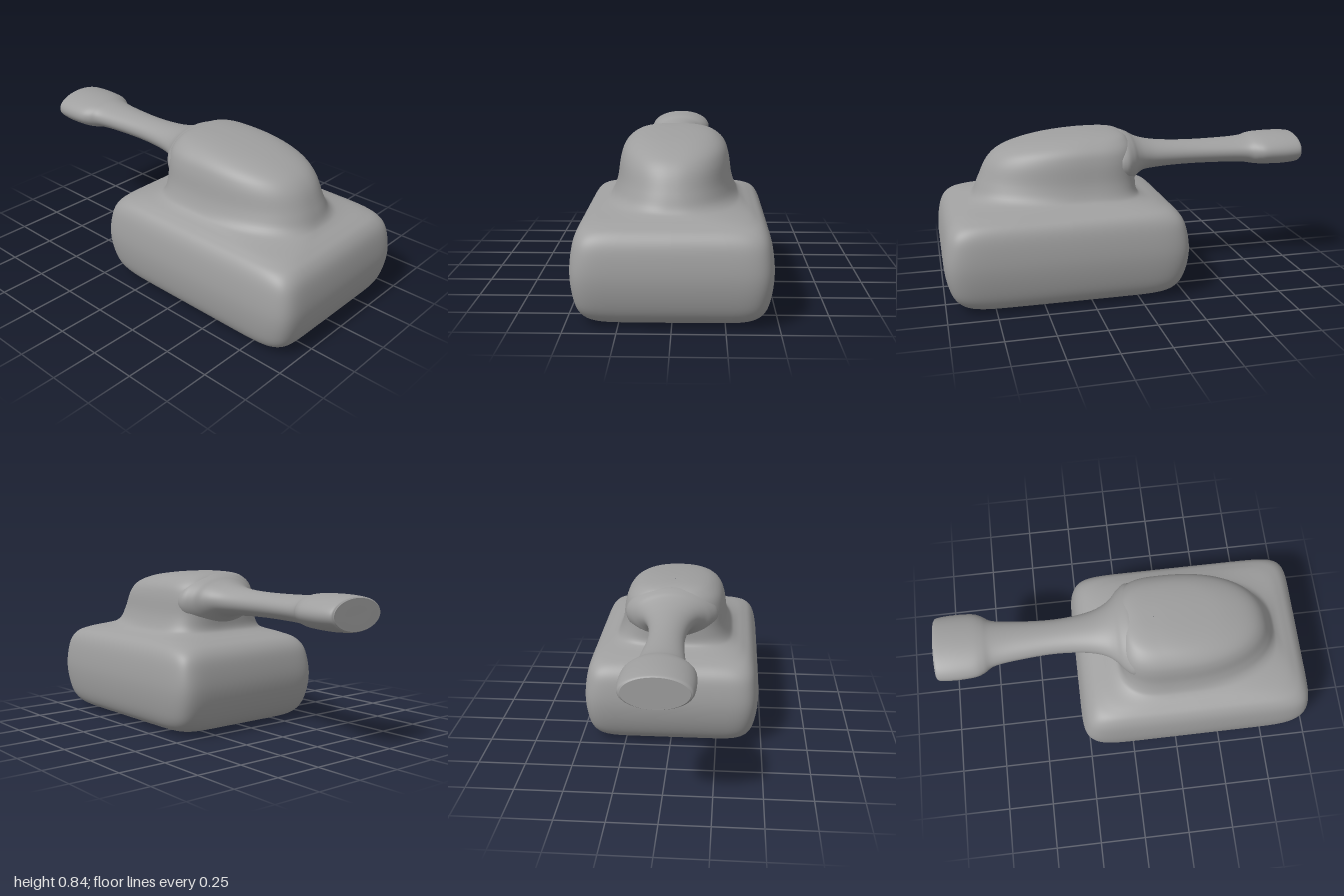
import * as THREE from 'three';

const material = new THREE.MeshStandardMaterial({ color: 0x9f9f9f });

// Catmull-Rom resampling of control rows, so sections flow smoothly
function smoothRows(rows, steps) {
  const out = [];
  const at = i => rows[Math.min(rows.length - 1, Math.max(0, i))];
  for (let i = 0; i < rows.length - 1; i++) {
    for (let s = 0; s < steps; s++) {
      const t = s / steps;
      out.push(rows[i].map((b, k) => {
        const a = at(i - 1)[k], c = at(i + 1)[k], d = at(i + 2)[k];
        return b + 0.5 * t * (c - a + t * (2 * a - 5 * b + 4 * c - d + t * (3 * (b - c) + d - a)));
      }));
    }
  }
  out.push(rows[rows.length - 1]);
  return out;
}

// Signed power used for superellipse outlines
const power = (v, n) => Math.sign(v) * Math.pow(Math.abs(v), 2 / n);

// Skin a closed surface over rings; pointAt(row, angle) returns [x, y, z]
function loft(name, rows, sides, pointAt) {
  const positions = [], index = [];
  rows.forEach((row, i) => {
    for (let j = 0; j < sides; j++) {
      positions.push(...pointAt(row, (j / sides) * Math.PI * 2));
      if (i === rows.length - 1) continue;
      const a = i * sides + j, b = i * sides + (j + 1) % sides;
      index.push(a, b, b + sides, a, b + sides, a + sides);
    }
  });
  const geometry = new THREE.BufferGeometry();
  geometry.setAttribute('position', new THREE.Float32BufferAttribute(positions, 3));
  geometry.setIndex(index);
  geometry.computeVertexNormals();
  const mesh = new THREE.Mesh(geometry, material);
  mesh.name = name;
  return mesh;
}

export function createModel() {
  const group = new THREE.Group();
  group.name = 'tank';

  // Hull flowing up into the turret: y, min x, middle x, max x, half depth, left and right squareness
  const body = [
    [0, 0.359, 0.36, 0.361, 0.001, 6, 6],
    [0, -0.06, 0.36, 0.78, 0.29, 7, 7],
    [0.007, -0.15, 0.36, 0.87, 0.375, 8, 8],
    [0.03, -0.205, 0.36, 0.925, 0.425, 9, 9],
    [0.08, -0.243, 0.36, 0.965, 0.455, 10, 10],
    [0.16, -0.27, 0.36, 0.99, 0.473, 10, 10],
    [0.25, -0.28, 0.36, 1.0, 0.48, 10, 10],
    [0.34, -0.27, 0.36, 0.992, 0.473, 10, 10],
    [0.41, -0.248, 0.36, 0.973, 0.457, 10, 10],
    [0.455, -0.208, 0.36, 0.94, 0.43, 9, 9],
    [0.48, -0.15, 0.36, 0.895, 0.39, 7, 7],
    [0.502, -0.08, 0.32, 0.845, 0.345, 4.5, 3.5],
    [0.53, -0.05, 0.28, 0.815, 0.317, 3.8, 2.5],
    [0.60, -0.045, 0.26, 0.785, 0.293, 3.5, 2.3],
    [0.70, -0.045, 0.24, 0.735, 0.278, 3.4, 2.3],
    [0.76, -0.035, 0.22, 0.66, 0.257, 3.3, 2.3],
    [0.80, -0.015, 0.2, 0.525, 0.215, 3.1, 2.3],
    [0.822, 0.015, 0.17, 0.37, 0.16, 3, 2.2],
    [0.833, 0.07, 0.15, 0.23, 0.08, 2.5, 2.2],
    [0.835, 0.149, 0.15, 0.151, 0.001, 2, 2],
  ];
  group.add(loft('hullAndTurret', smoothRows(body, 5), 128, ([y, x0, xc, x1, depth, nl, nr], a) => {
    const c = Math.cos(a), n = c < 0 ? nl : nr;
    return [xc + (c < 0 ? xc - x0 : x1 - xc) * power(c, n), y, -depth * power(Math.sin(a), n)];
  }));

  // Gun barrel with wide flat muzzle and flared root: x, bottom y, top y, half depth
  const barrel = [
    [-1.0, 0.679, 0.681, 0.001],
    [-1.0, 0.61, 0.75, 0.14],
    [-0.998, 0.602, 0.76, 0.16],
    [-0.98, 0.596, 0.767, 0.174],
    [-0.90, 0.591, 0.771, 0.18],
    [-0.80, 0.594, 0.769, 0.175],
    [-0.75, 0.598, 0.764, 0.157],
    [-0.70, 0.606, 0.754, 0.126],
    [-0.60, 0.612, 0.748, 0.109],
    [-0.42, 0.615, 0.746, 0.095],
    [-0.28, 0.613, 0.75, 0.099],
    [-0.17, 0.607, 0.76, 0.117],
    [-0.10, 0.598, 0.775, 0.145],
    [-0.055, 0.572, 0.793, 0.181],
    [-0.02, 0.542, 0.813, 0.222],
    [0.03, 0.53, 0.825, 0.255],
    [0.09, 0.56, 0.80, 0.22],
    [0.13, 0.67, 0.68, 0.001],
  ];
  group.add(loft('barrel', smoothRows(barrel, 5), 64, ([x, y0, y1, depth], a) =>
    [x, (y0 + y1) / 2 + ((y1 - y0) / 2) * Math.cos(a), -0.008 + depth * Math.sin(a)]));

  return group;
}
